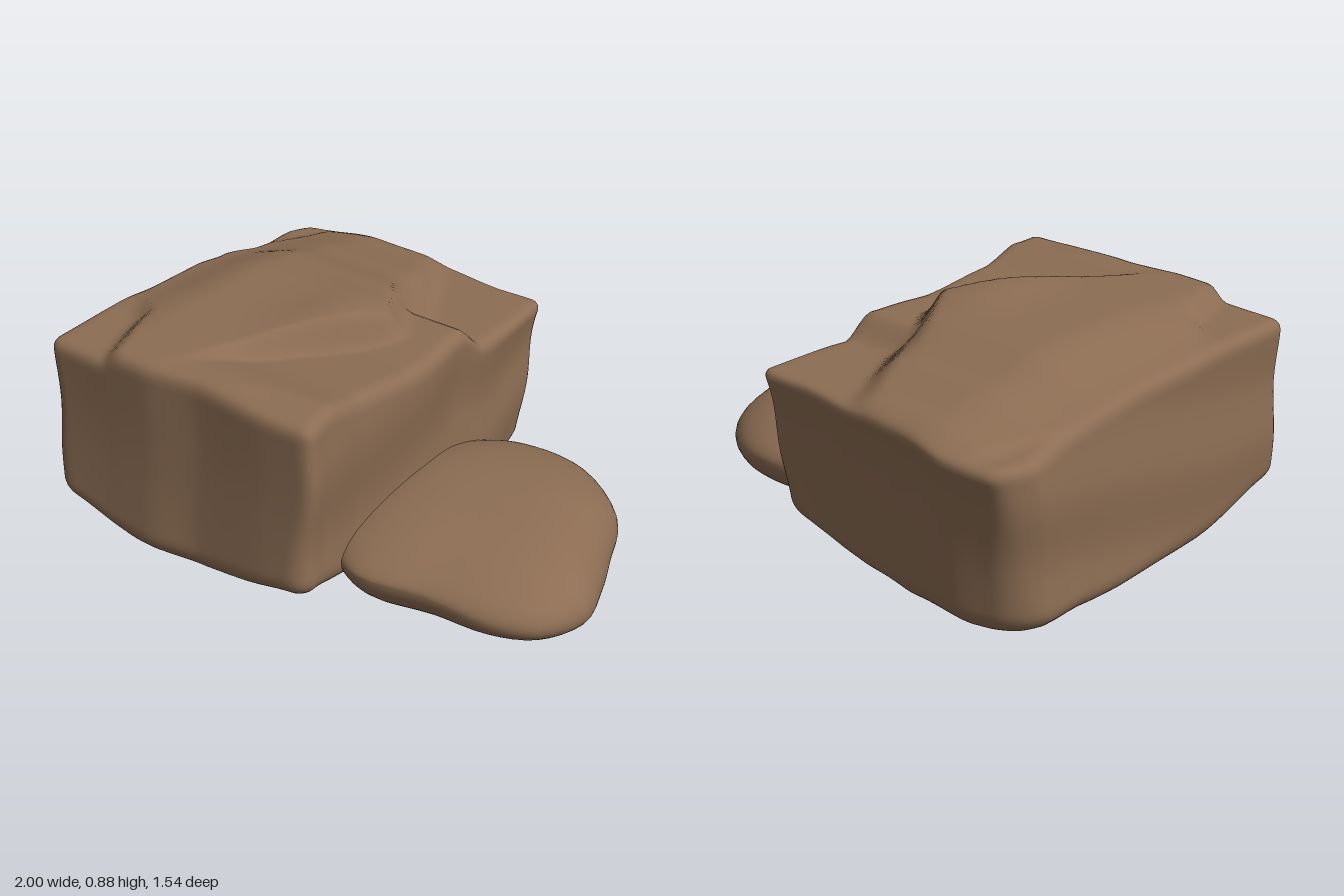
import * as THREE from 'three';
import { mergeVertices } from 'three/addons/utils/BufferGeometryUtils.js';

const { clamp, lerp, smoothstep } = THREE.MathUtils;

// Piecewise curve through [position, value] pairs, eased between them
function curve(points, t) {
  if (t <= points[0][0]) return points[0][1];
  for (let i = 1; i < points.length; i++) {
    const [a, va] = points[i - 1], [b, vb] = points[i];
    if (t <= b) {
      const k = (t - a) / (b - a);
      return lerp(va, vb, (k + smoothstep(k, 0, 1)) / 2);
    }
  }
  return points[points.length - 1][1];
}

// Signed distance to the line a-b, positive on the right of the walk (seen from above)
function beside(x, z, [ax, az, bx, bz]) {
  const dx = bx - ax, dz = bz - az;
  return (dx * (z - az) - dz * (x - ax)) / Math.hypot(dx, dz);
}

// Outlines of the four upright faces
const LEFT = [[-0.74, -0.955], [-0.6, -1], [-0.4, -0.965], [-0.2, -0.975], [0.3, -0.955], [0.75, -0.93]];
const RIGHT = [[-0.7, 0.175], [-0.4, 0.19], [-0.2, 0.175], [0, 0.195], [0.4, 0.205], [0.6, 0.23], [0.75, 0.255]];
const BACK = [[-0.94, -0.755], [-0.72, -0.785], [-0.5, -0.755], [-0.3, -0.745], [0, -0.71], [0.17, -0.715]];
const FRONT = [[-0.9, 0.74], [-0.5, 0.755], [-0.3, 0.73], [0, 0.745], [0.25, 0.74]];
// Height of the top and bottom
const TOP_Z = [[-0.76, 0.7], [-0.66, 0.735], [-0.4, 0.785], [-0.2, 0.84], [-0.05, 0.86], [0.3, 0.86], [0.5, 0.85], [0.75, 0.835]];
const LEFT_DROOP = [[-0.7, 0.045], [-0.15, 0.09], [0.2, 0.085], [0.6, 0.045]];
const BOTTOM_Z = [[-0.68, 0.04], [-0.42, 0], [0.2, 0.035], [0.45, 0.06], [0.75, 0.09]];
const BOTTOM_X = [[-0.96, 0.05], [-0.8, 0.02], [-0.57, 0], [-0.3, 0.04], [-0.1, 0.06], [0.2, 0.05]];

// Broken-off areas of the top: right of all edges, the stone drops to a floor that varies along z
const LEDGE = [[-0.2, 0.775], [0.1, 0.755], [0.4, 0.785], [0.62, 0.835]];
const CHIPS = [
  { floor: LEDGE, width: 0.045, edges: [[-0.37, 0.58, -0.02, -0.03]] },
  { floor: LEDGE, width: 0.06, edges: [[-0.02, -0.03, -0.13, -0.2]] },
  { floor: [[-0.7, 0.7], [-0.25, 0.69]], width: 0.09, edges: [[-0.08, -0.2, -0.36, -0.72], [0.2, -0.22, -0.1, -0.22]] },
  { floor: [[0.3, 0.79], [0.7, 0.785]], width: 0.06, edges: [[-0.97, 0.23, -0.74, 0.43], [-0.76, 0.37, -0.61, 0.76]] },
  { floor: [[-0.7, 0.68], [-0.3, 0.72]], width: 0.05, edges: [[-0.87, -0.55, -0.98, -0.2], [-0.78, -0.76, -0.9, -0.46]] },
];

function topHeight(x, z) {
  let y = curve(TOP_Z, z) - curve(LEFT_DROOP, z) * smoothstep(-x, 0.6, 0.97)
    + 0.025 * Math.exp(-(((x + 0.15) / 0.15) ** 2) - ((z - 0.13) / 0.25) ** 2)
    - 0.02 * smoothstep(x, -0.3, 0.2);
  for (const { floor, width, edges } of CHIPS) {
    const inside = Math.min(...edges.map((e) => smoothstep(beside(x, z, e), -width * 0.3, width)));
    y = lerp(y, Math.min(y, curve(floor, z)), inside);
  }
  return y;
}

// The underside climbs towards its corners
function bottomHeight(x, z) {
  const left = smoothstep(-x, 0.5, 0.95), right = smoothstep(x, -0.15, 0.2);
  const front = smoothstep(z, 0.3, 0.75), back = smoothstep(-z, 0.3, 0.65);
  const base = Math.max(curve(BOTTOM_Z, z), 0.5 * curve(BOTTOM_Z, z) + curve(BOTTOM_X, x));
  return base + front * (0.08 * left + 0.06 * right) + back * 0.09 * right;
}

// Block: a rounded box whose faces are pushed to the outlines above
function makeBlock() {
  const half = new THREE.Vector3(0.59, 0.39, 0.74);
  let geometry = new THREE.BoxGeometry(half.x * 2, half.y * 2, half.z * 2, 56, 32, 68);
  geometry.deleteAttribute('normal');
  geometry.deleteAttribute('uv');
  geometry = mergeVertices(geometry);
  const pos = geometry.attributes.position;
  const p = new THREE.Vector3(), core = new THREE.Vector3(), inner = new THREE.Vector3();
  for (let i = 0; i < pos.count; i++) {
    p.fromBufferAttribute(pos, i);
    // Lower edges are worn rounder than the upper ones
    const round = lerp(0.085, 0.05, smoothstep(p.y, -0.35, 0.2));
    inner.copy(half).subScalar(round);
    core.copy(p).clamp(inner.clone().negate(), inner);
    p.sub(core).setLength(round).add(core);
    const u = (p.x / half.x + 1) / 2, v = (p.y / half.y + 1) / 2, w = (p.z / half.z + 1) / 2;
    const x0 = lerp(-0.96, 0.2, u), z0 = lerp(-0.73, 0.75, w);
    // Sides lean and swell a little with height
    const wave = 0.008 * Math.sin(v * 9 + z0 * 3);
    const left = curve(LEFT, z0) + 0.03 * (1 - v) * smoothstep(-z0, 0.3, 0.6) + wave;
    const right = curve(RIGHT, z0) - 0.02 * (1 - v) + wave;
    const back = curve(BACK, x0) + lerp(0.14, 0.08, u) * Math.pow(1 - clamp(v, 0, 1), 0.6);
    const front = curve(FRONT, x0) + 0.03 * (1 - v) - 0.012 * Math.sin(v * Math.PI);
    const x = lerp(left, right, u), z = lerp(back, front, w);
    pos.setXYZ(i, x, lerp(bottomHeight(x, z), topHeight(x, z), v), z);
  }
  geometry.computeVertexNormals();
  return geometry;
}

// Flat stone: the plan outline shrunk in rings towards top and bottom
function makeFlatStone() {
  const outline = new THREE.CatmullRomCurve3([
    [0.04, -0.2], [0.19, -0.41], [0.33, -0.47], [0.55, -0.46], [0.78, -0.31], [0.87, -0.13], [0.95, 0.05],
    [1, 0.22], [0.93, 0.39], [0.78, 0.48], [0.55, 0.52], [0.3, 0.57], [0.14, 0.48], [0.04, 0.2],
  ].map(([x, z]) => new THREE.Vector3(x, 0, z)), true);
  const around = 56, rings = 32, cx = 0.5, cz = 0.05;
  const rim = outline.getPoints(around).slice(0, around);
  const positions = [], index = [];
  for (let r = 0; r <= rings; r++) {
    const angle = (r / rings - 0.5) * Math.PI;
    const rise = Math.sin(angle);
    const scale = Math.pow(Math.max(Math.cos(angle), 0), rise > 0 ? 0.65 : 0.75);
    for (const q of rim) {
      const x = cx + (q.x - cx) * scale, z = cz + (q.z - cz) * scale;
      const edge = 0.2 - 0.06 * smoothstep(x, 0.4, 1);
      const top = 0.35 - 0.05 * (x - 0.45) - 0.2 * (z + 0.05) ** 2;
      const y = rise > 0 ? lerp(edge, top, rise) : lerp(edge, 0.006, -rise);
      positions.push(x, y, z);
    }
  }
  for (let r = 0; r < rings; r++) {
    for (let i = 0; i < around; i++) {
      const a = r * around + i, b = r * around + (i + 1) % around;
      index.push(a, a + around, b, b, a + around, b + around);
    }
  }
  let geometry = new THREE.BufferGeometry();
  geometry.setAttribute('position', new THREE.Float32BufferAttribute(positions, 3));
  geometry.setIndex(index);
  geometry = mergeVertices(geometry);
  geometry.computeVertexNormals();
  return geometry;
}

export function createModel() {
  const brownStone = new THREE.MeshStandardMaterial({ color: 0x8c6d53 });
  brownStone.name = 'brown stone';
  const group = new THREE.Group();
  group.name = 'rocks';
  const block = new THREE.Mesh(makeBlock(), brownStone);
  block.name = 'blockRock';
  const flat = new THREE.Mesh(makeFlatStone(), brownStone);
  flat.name = 'flatRock';
  group.add(block, flat);
  return group;
}
